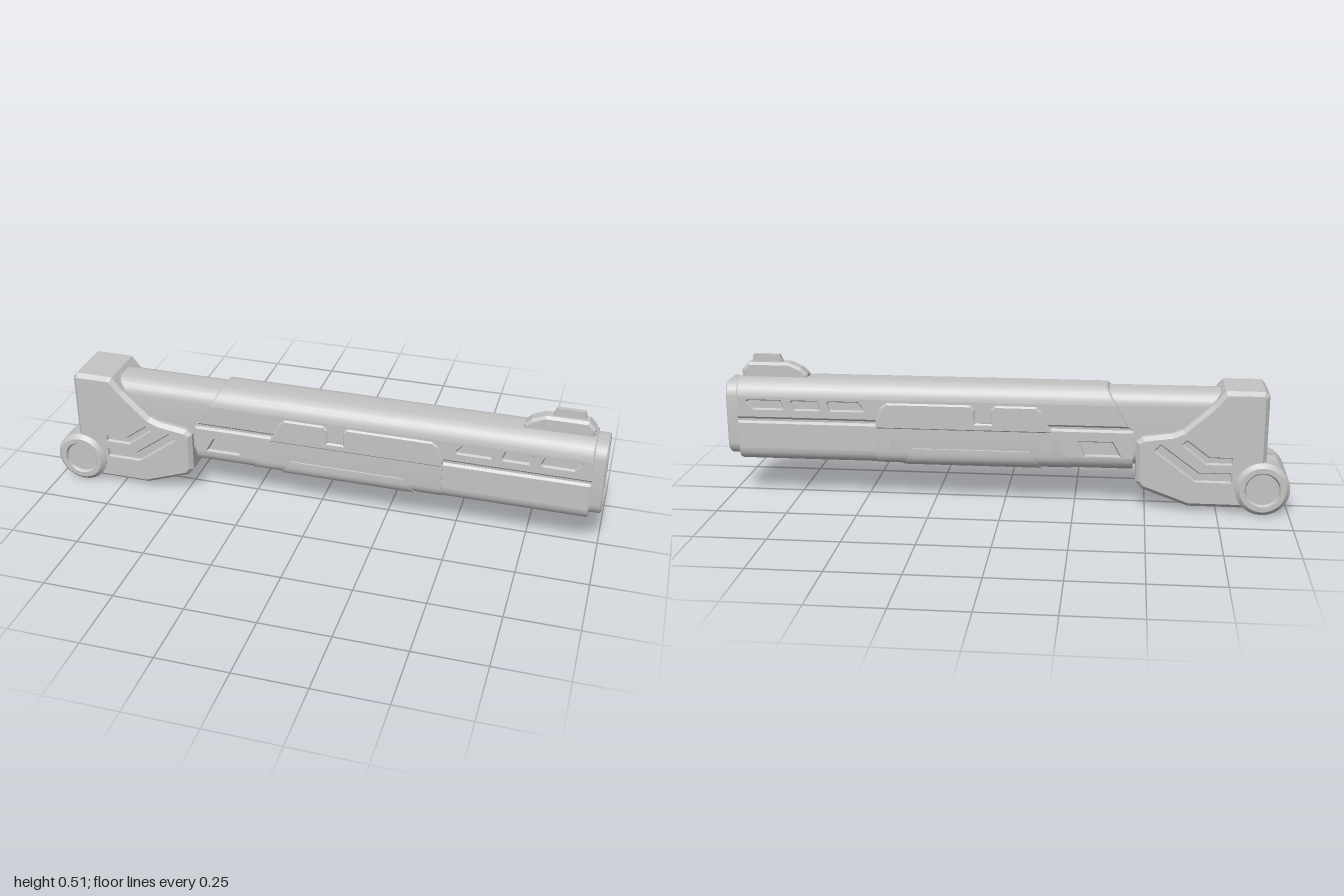
import * as THREE from 'three';
import { toCreasedNormals } from 'three/addons/utils/BufferGeometryUtils.js';

// Closed [z, y] cross-section: rounded lower and upper halves meeting at a split line; dip sinks the flat sides
function section(bottom, top, split, mid, dip = 0) {
  const half = [], n = 6;
  for (let i = 0; i <= n; i++) {
    const a = (i / n) * Math.PI / 2;
    half.push([bottom.hw - bottom.r + bottom.r * Math.sin(a), bottom.y + bottom.r * (1 - Math.cos(a))]);
  }
  half.push([bottom.hw - dip, bottom.y + bottom.r], [bottom.hw - dip, split - 0.012], [bottom.hw, split - 0.012]);
  half.push([mid, split - 0.004], [mid, split + 0.004]);
  half.push([top.hw, split + 0.012], [top.hw - dip, split + 0.012], [top.hw - dip, top.y - top.r]);
  for (let i = 0; i <= n; i++) {
    const a = (i / n) * Math.PI / 2;
    half.push([top.hw - top.r + top.r * Math.cos(a), top.y - top.r * (1 - Math.sin(a))]);
  }
  return half.concat(half.map(([z, y]) => [-z, y]).reverse());
}
const roundRect = (hw, y0, y1, r) => section({ hw, y: y0, r }, { hw, y: y1, r }, 0.29, hw);

// Skin through [ring, x] stations, where x may depend on height
function loft(stations, closed) {
  const pos = [], idx = [], n = stations[0][0].length;
  for (const [ring, x] of stations)
    for (const [z, y] of ring) pos.push(typeof x === 'function' ? x(y) : x, y, z);
  const count = stations.length;
  for (let i = 0; i < (closed ? count : count - 1); i++)
    for (let j = 0; j < n; j++) {
      const k = (j + 1) % n, m = (i + 1) % count;
      const a = i * n + j, b = i * n + k, c = m * n + k, d = m * n + j;
      idx.push(a, d, c, a, c, b);
    }
  const g = new THREE.BufferGeometry();
  g.setAttribute('position', new THREE.Float32BufferAttribute(pos, 3));
  g.setIndex(idx);
  return toCreasedNormals(g, 0.5);
}

const ccw = (p) => (THREE.ShapeUtils.isClockWise(p) ? p.slice().reverse() : p);
const vec = (list) => ccw(list.map(([x, y]) => new THREE.Vector2(x, y)));

// Mitred inset of a counter-clockwise outline
function inset(p, d) {
  return p.map((v, i) => {
    const e = v.clone().sub(p[(i + p.length - 1) % p.length]).normalize();
    const f = p[(i + 1) % p.length].clone().sub(v).normalize();
    const a = new THREE.Vector2(-e.y, e.x), b = new THREE.Vector2(-f.y, f.x);
    return v.clone().addScaledVector(a.clone().add(b), d / Math.max(0.4, 1 + a.dot(b)));
  });
}

// Chamfered side plate with optional recesses; side = 1 or -1
function plate(side, outline, z0, z1, z2, chamfer, holes = []) {
  const pos = [];
  const tri = (...t) => {
    for (const [v, z] of side > 0 ? t : t.reverse()) pos.push(v.x, v.y, z * side);
  };
  const wall = (a, za, b, zb) => a.forEach((v, i) => {
    const j = (i + 1) % a.length;
    tri([v, za], [a[j], za], [b[j], zb]);
    tri([v, za], [b[j], zb], [b[i], zb]);
  });
  const cap = (contour, inner, z) => {
    const all = [contour, ...inner].flat();
    for (const [a, b, c] of THREE.ShapeUtils.triangulateShape(contour.slice(), inner.map((h) => h.slice())))
      tri([all[a], z], [all[b], z], [all[c], z]);
  };
  const outer = vec(outline), face = inset(outer, chamfer), cut = holes.map(vec);
  wall(outer, z0, outer, z1);
  wall(outer, z1, face, z2);
  cap(face, cut.map((h) => h.slice().reverse()), z2);
  for (const h of cut) {
    const floor = inset(h, 0.005);
    wall(floor.slice().reverse(), z2 - 0.009, h.slice().reverse(), z2);
    cap(floor, [], z2 - 0.009);
  }
  const g = new THREE.BufferGeometry();
  g.setAttribute('position', new THREE.Float32BufferAttribute(pos, 3));
  g.computeVertexNormals();
  return g;
}

// Bent strip between a path and its shifted copy
const chevron = ([a, b, c], w) => [a, b, c, [c[0] + w * 0.7, c[1] - w * 0.7], [b[0] + w * 0.4, b[1] - w], [a[0], a[1] - w]];

function prism(points, hw) {
  return new THREE.ExtrudeGeometry(new THREE.Shape(vec(points)), { depth: hw * 2, bevelEnabled: false }).translate(0, 0, -hw);
}

export function createModel() {
  const model = new THREE.Group();
  const grey = new THREE.MeshStandardMaterial({ color: 0xc4c4c4 });
  grey.name = 'grey';
  const add = (name, geometry) => {
    const mesh = new THREE.Mesh(geometry, grey);
    mesh.name = name;
    model.add(mesh);
    return mesh;
  };

  // Hollow inner tube running the full length
  const bore = roundRect(0.05, 0.175, 0.395, 0.027);
  const tube = roundRect(0.077, 0.152, 0.424, 0.05);
  const rim = roundRect(0.072, 0.157, 0.419, 0.046);
  add('innerTube', loft([[bore, -0.917], [tube, -0.917], [tube, 0.995], [rim, 1], [bore, 1]], true));

  // Outer shell with a long side groove, sunken flanks and a raked rear edge
  const buried = roundRect(0.065, 0.163, 0.41, 0.04);
  const shell = section({ hw: 0.089, y: 0.136, r: 0.05 }, { hw: 0.089, y: 0.435, r: 0.06 }, 0.29, 0.081, 0.011);
  const shellEnd = section({ hw: 0.085, y: 0.14, r: 0.046 }, { hw: 0.085, y: 0.431, r: 0.056 }, 0.29, 0.078, 0.007);
  const rake = (y) => (y < 0.3 ? -0.455 : -0.44 + (y - 0.3) * 0.6);
  add('outerShell', loft([[buried, rake], [shellEnd, rake], [shell, (y) => rake(y) + 0.005], [shell, 0.953], [shellEnd, 0.958], [buried, 0.958]]));

  // Raised sleeves wrapping the underside
  const hidden = { hw: 0.07, y: 0.415, r: 0.04 };
  const sleeve = section({ hw: 0.0915, y: 0.1345, r: 0.05 }, hidden, 0.29, 0.07);
  const rear = (y) => -0.24 + (y - 0.14) * 0.48;
  add('middleSleeve', loft([[buried, rear], [sleeve, rear], [sleeve, 0.455], [buried, 0.455]]));
  const pad = section({ hw: 0.0955, y: 0.131, r: 0.05 }, hidden, 0.213, 0.07);
  const padRear = (y) => -0.13 + (y - 0.14) * 0.6, padFront = (y) => 0.36 - (y - 0.14) * 0.6;
  add('undersidePad', loft([[buried, padRear], [pad, padRear], [pad, padFront], [buried, padFront]]));

  // Rear housing outline and its angled grooves
  const housing = [[-0.915, 0.06], [-0.84, 0.02], [-0.65, 0.02], [-0.485, 0.08], [-0.465, 0.105], [-0.465, 0.25], [-0.485, 0.268],
    [-0.59, 0.283], [-0.625, 0.298], [-0.725, 0.39], [-0.765, 0.438], [-0.78, 0.44], [-0.9, 0.44], [-0.915, 0.425]];
  const grooves = [
    chevron([[-0.8, 0.205], [-0.72, 0.205], [-0.64, 0.265]], 0.028),
    chevron([[-0.8, 0.148], [-0.685, 0.148], [-0.55, 0.247]], 0.036),
  ];

  // Flank panels with recessed windows, and the notched centre panel
  const slot = (x0, x1, l, r) => [[x0, 0.336], [x0 + l, 0.366], [x1 - 0.008, 0.366], [x1, 0.358], [x1 - r, 0.328], [x0 + 0.008, 0.328]];
  const upperFlank = [[-0.434, 0.302], [0.953, 0.302], [0.953, 0.375], [-0.39, 0.375]];
  const upperWindows = [slot(0.492, 0.632, 0.025, 0.01), slot(0.652, 0.765, 0.012, 0.015), slot(0.785, 0.925, 0.01, 0.025)];
  const lowerFlank = [[-0.45, 0.186], [0.953, 0.186], [0.953, 0.278], [-0.45, 0.278]];
  const lowerWindow = [[-0.415, 0.19], [-0.385, 0.245], [-0.262, 0.245], [-0.285, 0.19]];
  const panel = [[-0.175, 0.27], [-0.155, 0.3], [-0.135, 0.345], [-0.115, 0.365], [0.03, 0.365], [0.045, 0.35], [0.045, 0.3],
    [0.1, 0.3], [0.1, 0.35], [0.115, 0.365], [0.415, 0.365], [0.435, 0.35], [0.455, 0.3], [0.455, 0.27]];

  for (const side of [1, -1]) {
    const tag = side > 0 ? 'Front' : 'Back';
    add('housingSide' + tag, plate(side, housing, 0.05, 0.091, 0.106, 0.014, grooves));
    add('upperFlank' + tag, plate(side, upperFlank, 0.075, 0.089, 0.089, 0, upperWindows));
    add('lowerFlank' + tag, plate(side, lowerFlank, 0.075, 0.089, 0.089, 0, [lowerWindow]));
    add('centrePanel' + tag, plate(side, panel, 0.075, 0.0895, 0.0945, 0.006));
  }

  // Roof and floor joining the housing sides
  add('housingRoof', prism([[-0.915, 0.397], [-0.731, 0.397], [-0.765, 0.438], [-0.78, 0.44], [-0.9, 0.44], [-0.915, 0.425]], 0.05));
  add('housingFloor', prism([[-0.915, 0.06], [-0.84, 0.02], [-0.65, 0.02], [-0.485, 0.08], [-0.465, 0.105], [-0.465, 0.172], [-0.915, 0.172]], 0.05));

  // Pivot barrel: dished ends around a core cut flat below the bore
  const profile = [[0.095, 0.05], [0.095, 0.108], [0.08, 0.122], [0.062, 0.122], [0.056, 0.112], [0, 0.112]];
  const cap = new THREE.LatheGeometry([[0, 0.05], ...profile].map(([r, z]) => new THREE.Vector2(r, z)), 40);
  for (const side of [1, -1])
    add('pivotEnd', toCreasedNormals(cap.clone().rotateX(side * Math.PI / 2), 0.4)).position.set(-0.905, 0.095, 0);
  const round = [];
  for (let i = 0; i < 40; i++) {
    const a = (i / 40) * Math.PI * 2;
    const y = 0.095 * Math.sin(a);
    if (y < 0.078) round.push([0.095 * Math.cos(a), y]);
  }
  add('pivotCore', toCreasedNormals(prism(round, 0.05), 0.3)).position.set(-0.905, 0.095, 0);

  // Round pins on the back side
  for (const [x, y, z] of [[-0.86, 0.385, -0.105], [-0.15, 0.22, -0.091], [0.415, 0.22, -0.091]]) {
    const pin = new THREE.CylinderGeometry(0.02, 0.017, 0.016, 20).rotateX(-Math.PI / 2);
    add('pin', pin).position.set(x, y, z);
  }

  // Sight with chamfered sides and a thin blade
  const ramp = [[0.71, 0.425], [0.712, 0.445], [0.735, 0.467], [0.78, 0.486], [0.925, 0.486], [0.95, 0.46], [0.95, 0.425]];
  for (const side of [1, -1]) add('sightBase', plate(side, ramp, 0, 0.018, 0.027, 0.009));
  add('sightBlade', prism([[0.8, 0.48], [0.815, 0.513], [0.91, 0.513], [0.915, 0.48]], 0.008));
  return model;
}
